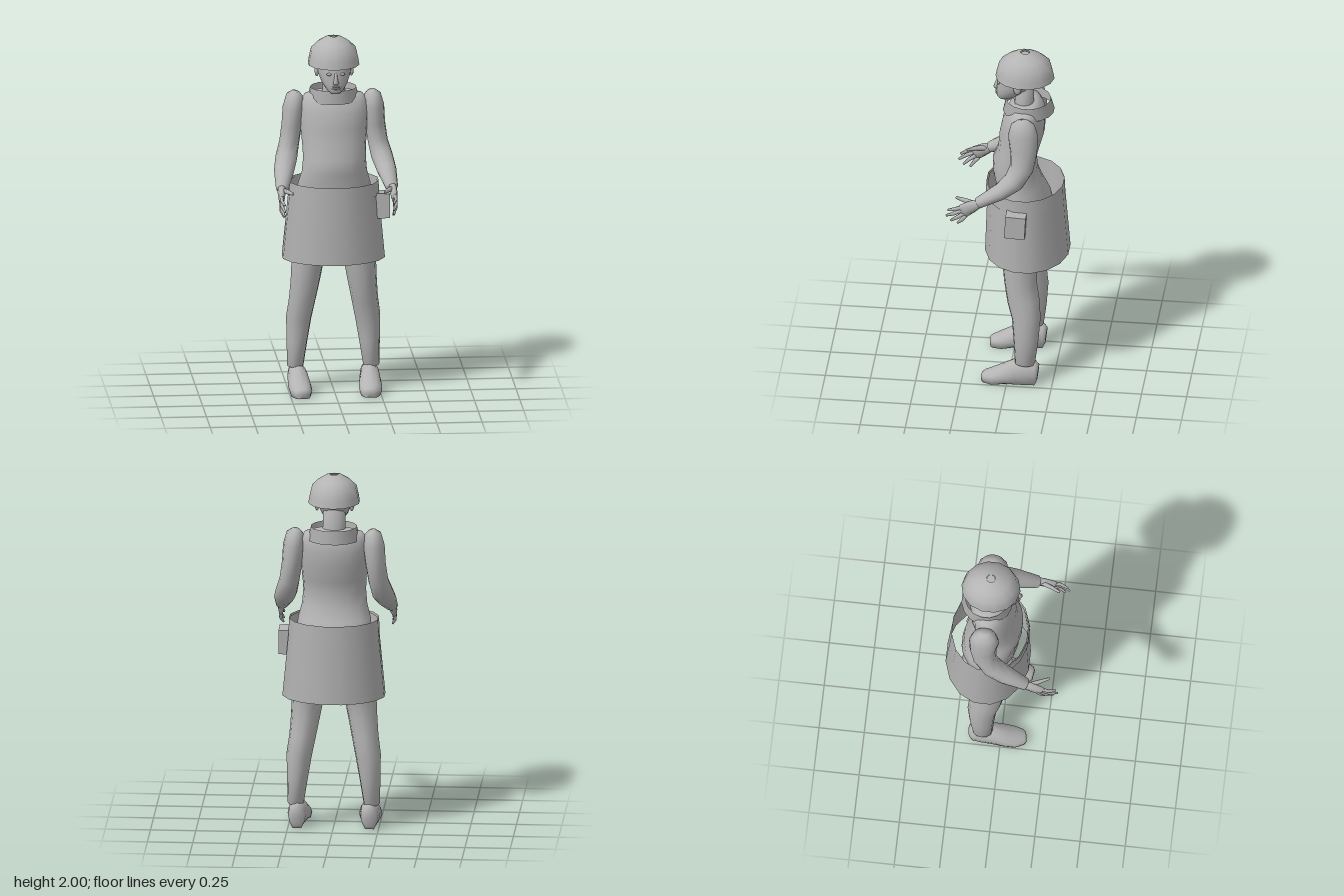
import * as THREE from 'three';

const clay = new THREE.MeshStandardMaterial({ color: 0xb4b4b4, side: THREE.DoubleSide });
clay.name = 'clay grey';

function part(name, geometry, parent) {
  const mesh = new THREE.Mesh(geometry, clay);
  mesh.name = name;
  parent.add(mesh);
  return mesh;
}

// Skin over elliptical rings [x, y, z, radiusAcross, radiusDeep]; dir fixes the ring axis
function loft(rings, sides = 12, dir = null) {
  const pos = [], index = [];
  const centre = rings.map(r => new THREE.Vector3(r[0], r[1], r[2]));
  const last = rings.length - 1;
  rings.forEach((r, i) => {
    const t = dir ? dir.clone()
      : centre[Math.min(i + 1, last)].clone().sub(centre[Math.max(i - 1, 0)]).normalize();
    const u = new THREE.Vector3(1, 0, 0).addScaledVector(t, -t.x).normalize();
    const v = t.clone().cross(u);
    for (let j = 0; j < sides; j++) {
      const a = (j / sides) * Math.PI * 2;
      const p = centre[i].clone()
        .addScaledVector(u, Math.cos(a) * r[3]).addScaledVector(v, Math.sin(a) * r[4]);
      pos.push(p.x, p.y, p.z);
    }
  });
  for (let i = 0; i < last; i++) {
    for (let j = 0; j < sides; j++) {
      const k = (j + 1) % sides;
      const a = i * sides + j, b = i * sides + k, c = b + sides, d = a + sides;
      index.push(a, b, c, a, c, d);
    }
  }
  const s = pos.length / 3, top = last * sides;
  pos.push(...centre[0].toArray(), ...centre[last].toArray());
  for (let j = 0; j < sides; j++) {
    const k = (j + 1) % sides;
    index.push(s, k, j, s + 1, top + j, top + k);
  }
  const g = new THREE.BufferGeometry();
  g.setAttribute('position', new THREE.Float32BufferAttribute(pos, 3));
  g.setIndex(index);
  g.computeVertexNormals();
  return g;
}

// Upright body form from levels [y, zBack, zFront, halfWidth]
const UP = new THREE.Vector3(0, 1, 0);
const body = (levels, sides) => loft(
  levels.map(([y, b, f, w]) => [0, y, (b + f) / 2, w, (f - b) / 2]), sides, UP);

// Open oval band between two heights, each end given as [y, zBack, zFront, halfWidth]
function band(low, high) {
  const g = new THREE.CylinderGeometry(1, 1, 1, 16, 1, true);
  g.rotateY(Math.PI / 16);
  const p = g.attributes.position, grow = 1 / Math.cos(Math.PI / 16);
  for (let i = 0; i < p.count; i++) {
    const [y, b, f, w] = p.getY(i) > 0 ? high : low;
    p.setXYZ(i, p.getX(i) * w * grow, y, (b + f) / 2 + p.getZ(i) * grow * (f - b) / 2);
  }
  // analytic side normals keep the seam smooth
  const n = g.attributes.normal;
  for (let i = 0; i < n.count; i++) {
    const v = new THREE.Vector3(n.getX(i) / low[3], 0, n.getZ(i) * 2 / (low[2] - low[1])).normalize();
    n.setXYZ(i, v.x, v.y, v.z);
  }
  return g;
}

function addLimbs(root, s) {
  const side = s > 0 ? 'left' : 'right';
  const limb = (name, rings, sides) =>
    part(side + name, loft(rings.map(r => [s * r[0], ...r.slice(1)]), sides), root);

  // Arm bent forward at the elbow
  limb('Arm', [
    [0.205, 1.688, -0.09, 0.022, 0.03], [0.213, 1.665, -0.09, 0.048, 0.065],
    [0.22, 1.6, -0.09, 0.06, 0.083], [0.23, 1.5, -0.095, 0.056, 0.075],
    [0.245, 1.4, -0.085, 0.055, 0.066], [0.264, 1.325, -0.045, 0.06, 0.06],
    [0.283, 1.265, 0.03, 0.055, 0.046], [0.302, 1.195, 0.15, 0.035, 0.03]], 12);

  // Hand with palm facing inward
  limb('Palm', [
    [0.304, 1.2, 0.135, 0.022, 0.024], [0.308, 1.18, 0.175, 0.022, 0.036],
    [0.312, 1.15, 0.225, 0.016, 0.042], [0.312, 1.14, 0.24, 0.009, 0.036]], 8);
  const fingers = [
    [1.172, 0.235, 1.14, 0.315], [1.152, 0.235, 1.105, 0.325],
    [1.132, 0.228, 1.075, 0.3], [1.118, 0.215, 1.062, 0.262]];
  fingers.forEach(([y0, z0, y1, z1], i) => limb('Finger' + (i + 1), [
    [0.313, y0, z0, 0.011, 0.012],
    [0.314, (y0 + y1) / 2, (z0 + z1) / 2, 0.01, 0.011],
    [0.301, y1, z1, 0.006, 0.007]], 6));
  limb('Thumb', [
    [0.3, 1.19, 0.17, 0.014, 0.016], [0.278, 1.195, 0.225, 0.012, 0.013],
    [0.254, 1.195, 0.275, 0.007, 0.008]], 6);

  // Leg from hip to ankle
  limb('Leg', [
    [0.105, 1.0, -0.085, 0.1, 0.14], [0.125, 0.88, -0.075, 0.1, 0.115],
    [0.143, 0.75, -0.065, 0.09, 0.1], [0.158, 0.62, -0.07, 0.08, 0.09],
    [0.173, 0.51, -0.088, 0.073, 0.09], [0.19, 0.41, -0.105, 0.07, 0.08],
    [0.2, 0.28, -0.105, 0.058, 0.069], [0.21, 0.13, -0.1, 0.044, 0.055]], 12);

  // Foot: the sole is pressed flat onto the ground
  const foot = limb('Foot', [
    [0.2, 0.07, -0.172, 0.032, 0.05], [0.2, 0.072, -0.155, 0.048, 0.07],
    [0.2, 0.072, -0.1, 0.054, 0.08], [0.198, 0.066, -0.045, 0.058, 0.076],
    [0.195, 0.045, 0.02, 0.064, 0.058], [0.192, 0.03, 0.08, 0.062, 0.042],
    [0.186, 0.025, 0.125, 0.045, 0.028], [0.184, 0.024, 0.138, 0.028, 0.018]], 12);
  const p = foot.geometry.attributes.position;
  for (let i = 0; i < p.count; i++) if (p.getY(i) < 0.016) p.setY(i, 0);
  foot.geometry.computeVertexNormals();

  // Ear and eye
  const ear = part(side + 'Ear', new THREE.SphereGeometry(1, 8, 6), root);
  ear.scale.set(0.012, 0.034, 0.022);
  ear.position.set(s * 0.096, 1.815, -0.045);
  const eye = part(side + 'Eye', new THREE.SphereGeometry(1, 8, 6), root);
  eye.scale.set(0.016, 0.008, 0.008);
  eye.position.set(s * 0.036, 1.817, 0.066);
}

export function createModel() {
  const root = new THREE.Group();
  root.name = 'figure';

  // Torso and hips
  part('torso', body([
    [0.87, -0.2, 0.02, 0.1], [0.97, -0.238, 0.055, 0.195], [1.08, -0.225, 0.08, 0.21],
    [1.18, -0.172, 0.082, 0.2], [1.25, -0.148, 0.098, 0.18], [1.33, -0.14, 0.1, 0.173],
    [1.4, -0.157, 0.07, 0.176], [1.5, -0.185, 0.062, 0.185], [1.58, -0.19, 0.046, 0.19],
    [1.64, -0.185, 0.022, 0.187], [1.675, -0.165, -0.005, 0.16], [1.692, -0.14, -0.035, 0.1]], 18), root);

  // Neck, head and face
  part('neck', body([
    [1.62, -0.15, -0.01, 0.085], [1.7, -0.125, -0.02, 0.062], [1.82, -0.13, 0, 0.062]], 12), root);
  part('head', body([
    [1.705, 0.005, 0.068, 0.026], [1.722, -0.03, 0.08, 0.046], [1.76, -0.085, 0.081, 0.072],
    [1.8, -0.125, 0.076, 0.088], [1.85, -0.15, 0.075, 0.097], [1.92, -0.16, 0.055, 0.095],
    [1.965, -0.13, 0, 0.06], [1.98, -0.1, -0.06, 0.02]], 16), root);
  part('nose', loft([
    [0, 1.762, 0.08, 0.014, 0.008], [0, 1.771, 0.084, 0.016, 0.014],
    [0, 1.795, 0.079, 0.009, 0.011], [0, 1.825, 0.07, 0.007, 0.008]], 8, UP), root);
  for (const [name, y] of [['upperLip', 1.748], ['lowerLip', 1.738]]) {
    const lip = part(name, new THREE.SphereGeometry(1, 8, 6), root);
    lip.scale.set(0.024, 0.0055, 0.009);
    lip.position.set(0, y, 0.079);
  }

  // Rounded helmet with a small round hole at the crown
  const profile = [[0.143, 1.843], [0.137, 1.88], [0.125, 1.932], [0.09, 1.967],
    [0.05, 1.992], [0.022, 2.0]].map(([r, y]) => new THREE.Vector2(r, y));
  const helmet = part('helmet', new THREE.LatheGeometry(profile, 14), root);
  helmet.scale.z = 1.14;
  helmet.position.z = -0.077;
  const crown = part('crownDisc', new THREE.CircleGeometry(0.024, 14), root);
  crown.rotation.x = -Math.PI / 2;
  crown.position.set(0, 1.992, -0.077);

  // Standing collar, waistband and open skirt
  part('collar', band([1.638, -0.237, 0.042, 0.142], [1.71, -0.217, 0.025, 0.125]), root);
  part('skirt', band([0.75, -0.322, 0.138, 0.281], [1.18, -0.288, 0.124, 0.24]), root);
  part('waistband', band([1.108, -0.294, 0.133, 0.248], [1.187, -0.29, 0.132, 0.245]), root);

  // Pouch on the left hip, narrower towards its outer face
  const box = new THREE.BoxGeometry(0.08, 0.142, 0.112);
  const p = box.attributes.position;
  for (let i = 0; i < p.count; i++) if (p.getX(i) > 0) p.setY(i, p.getY(i) * 0.95);
  box.computeVertexNormals();
  const pouch = part('pouch', box, root);
  pouch.position.set(0.264, 1.047, -0.055);
  pouch.rotation.x = -0.05;

  for (const s of [-1, 1]) addLimbs(root, s);
  return root;
}
